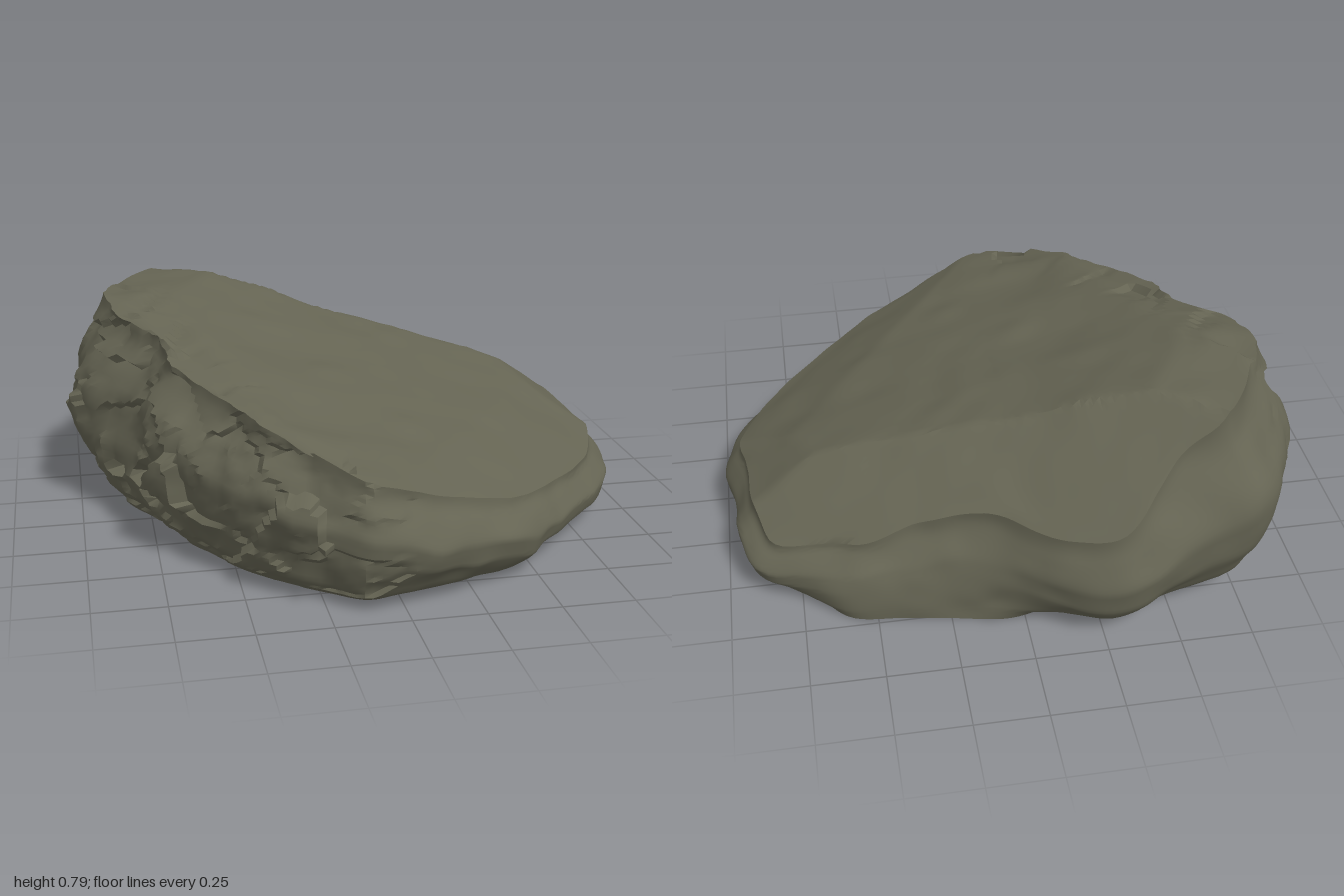
import * as THREE from 'three';
import { toCreasedNormals } from 'three/addons/utils/BufferGeometryUtils.js';

const { lerp, smoothstep, clamp } = THREE.MathUtils;

// Widest plan outline, x and z, from the back round by +x
const OUTLINE = [
  [-0.32, -1], [-0.1, -0.93], [0.15, -0.8], [0.4, -0.74], [0.6, -0.72], [0.75, -0.64],
  [0.91, -0.54], [0.96, -0.38], [0.97, -0.2], [1, -0.02], [0.95, 0.2], [0.8, 0.41],
  [0.65, 0.58], [0.5, 0.74], [0.33, 0.85], [0.15, 0.94], [0, 0.98], [-0.13, 1],
  [-0.25, 0.92], [-0.4, 0.8], [-0.6, 0.59], [-0.7, 0.42], [-0.78, 0.28], [-0.86, 0.04],
  [-0.98, -0.2], [-1, -0.5], [-0.9, -0.72], [-0.78, -0.88], [-0.58, -0.93],
];
// Wall profile: scale of the outline, share of the crest height
const WALL = [[0.84, 0], [0.93, 0.13], [0.985, 0.36], [1, 0.58], [0.985, 0.8], [0.93, 1]];
const CENTRE_Z = -0.1;
const AROUND = 220, WALL_ROWS = 32, TOP_ROWS = 32;

// Seeded hash of a lattice cell, 0 to 1
function hash(x, y, z, k = 0) {
  let h = Math.imul(x, 374761393) ^ Math.imul(y, 668265263) ^ Math.imul(z, 1274126177) ^ Math.imul(k + 7, 974634121);
  h = Math.imul(h ^ (h >>> 13), 1274126177);
  h = Math.imul(h ^ (h >>> 15), 739982445);
  return ((h ^ (h >>> 14)) >>> 0) / 4294967296;
}

// Smooth lumps, -1 to 1
function lumps(x, y, z) {
  const c = [x, y, z].map(Math.floor);
  const f = [x, y, z].map((v, i) => smoothstep(v - c[i], 0, 1));
  let sum = 0;
  for (let n = 0; n < 8; n++) {
    const o = [n & 1, (n >> 1) & 1, n >> 2];
    const w = o.reduce((p, b, i) => p * (b ? f[i] : 1 - f[i]), 1);
    sum += w * hash(c[0] + o[0], c[1] + o[1], c[2] + o[2]);
  }
  return sum * 2 - 1;
}

// Broken facets: each cell has its own offset and tilt, -1 to 1
function facets(x, y, z) {
  const c = [x, y, z].map(Math.floor);
  let best = Infinity, value = 0;
  for (let i = -1; i < 2; i++) for (let j = -1; j < 2; j++) for (let k = -1; k < 2; k++) {
    const a = [c[0] + i, c[1] + j, c[2] + k];
    const d = [x, y, z].map((v, n) => v - a[n] - hash(...a, n + 1));
    const dist = d[0] ** 2 + d[1] ** 2 + d[2] ** 2;
    if (dist < best) {
      best = dist;
      value = hash(...a, 4) * 1.2 - 0.6 + d.reduce((s, v, n) => s + v * (hash(...a, n + 5) - 0.5) * 1.3, 0);
    }
  }
  return clamp(value, -1, 1);
}

// Height of the sloping top: the lowest of a few planes
const topHeight = (x, z) => Math.min(
  0.775,
  0.56 - 0.26 * x - 0.16 * z,
  0.705 - 0.22 * z,
  0.68 - 0.45 * x - 0.3 * z,
  0.91 - 0.7 * x,
  1.05 - 0.5 * x + 0.8 * z,
);

function wallAt(t) {
  const f = t * (WALL.length - 1), i = Math.min(Math.floor(f), WALL.length - 2);
  return [0, 1].map((n) => lerp(WALL[i][n], WALL[i + 1][n], f - i));
}

function rockGeometry() {
  const curve = new THREE.CatmullRomCurve3(OUTLINE.map(([x, z]) => new THREE.Vector3(x, 0, z)), true);
  const outline = curve.getSpacedPoints(AROUND);
  const rows = WALL_ROWS + TOP_ROWS + 2;
  const positions = [], index = [];

  for (let j = 0; j < rows; j++) {
    for (let i = 0; i < AROUND; i++) {
      const ox = outline[i].x, oz = outline[i].z - CENTRE_Z;
      const len = Math.hypot(ox, oz), dx = ox / len, dz = oz / len;
      // Sides: craggy cliff, leaning left, straight back hollow, undercut back corner
      const crag = smoothstep(-0.86 * dx + 0.5 * dz, 0.42, 0.72);
      const lean = smoothstep(-dx, 0.3, 0.7);
      const hollow = smoothstep(0.46 * dx - 0.89 * dz, 0.8, 1);
      const undercut = smoothstep(-0.5 * dx - 0.86 * dz, 0.75, 1);
      const rim = 0.93 - 0.085 * lean - 0.06 * hollow;
      const crest = topHeight(ox * rim, CENTRE_Z + oz * rim);
      let s = 0, y = 0;
      if (j > 0 && j <= WALL_ROWS + 1) {
        // Wall rows
        const t = (j - 1) / WALL_ROWS;
        const [scale, share] = wallAt(t);
        s = scale - 0.06 * undercut * (1 - smoothstep(t, 0, 0.4));
        s = lerp(s, 1 - 0.13 * share ** 2, hollow);
        s = lerp(s, rim, smoothstep(t, 0.6, 1));
        y = crest * share;
      } else if (j > 0) {
        // Top rows, closing at the centre
        s = rim * (1 - (j - WALL_ROWS - 1) / TOP_ROWS);
      }
      let x = ox * s, z = CENTRE_Z + oz * s;
      if (j > 0 && j <= WALL_ROWS + 1) {
        const share = y / crest;
        const fade = smoothstep(share, -0.1, 0.25);
        const push = fade * (crag * (0.055 * facets(x * 4.5, y * 5.5, z * 4.5)
          + 0.014 * facets(x * 9, y * 11, z * 9 + 5) - 0.01)
          + 0.016 * lumps(x * 5, y * 5, z * 5) + 0.008 * lumps(x * 11, y * 11, z * 11));
        x += dx * push;
        z += dz * push;
        y += share * (1 - share) * 0.08 * lumps(x * 8, y * 8, z * 8);
      } else if (j > 0) {
        const k = s / rim;
        y = topHeight(x, z)
          + (1 - smoothstep(k, 0.85, 1)) * (0.016 * lumps(x * 4, 1.5, z * 4) + 0.008 * lumps(x * 9, 3.5, z * 9))
          + crag * smoothstep(k, 0.7, 0.9) * 0.025 * (facets(x * 5, y * 5, z * 5) - 0.3);
      }
      positions.push(x, Math.max(0, y), z);
    }
  }

  for (let j = 0; j < rows - 1; j++) {
    for (let i = 0; i < AROUND; i++) {
      const n = (i + 1) % AROUND;
      const a = j * AROUND + i, b = j * AROUND + n, c = a + AROUND, d = b + AROUND;
      if (j > 0) index.push(a, c, b);
      if (j < rows - 2) index.push(b, c, d);
    }
  }

  const geometry = new THREE.BufferGeometry();
  geometry.setAttribute('position', new THREE.Float32BufferAttribute(positions, 3));
  geometry.setIndex(index);
  return toCreasedNormals(geometry, 0.6);
}

export function createModel() {
  const stone = new THREE.MeshStandardMaterial({ color: 0x656453 });
  stone.name = 'stone';
  const rock = new THREE.Mesh(rockGeometry(), stone);
  rock.name = 'rock';
  const group = new THREE.Group();
  group.name = 'boulder';
  group.add(rock);
  return group;
}
